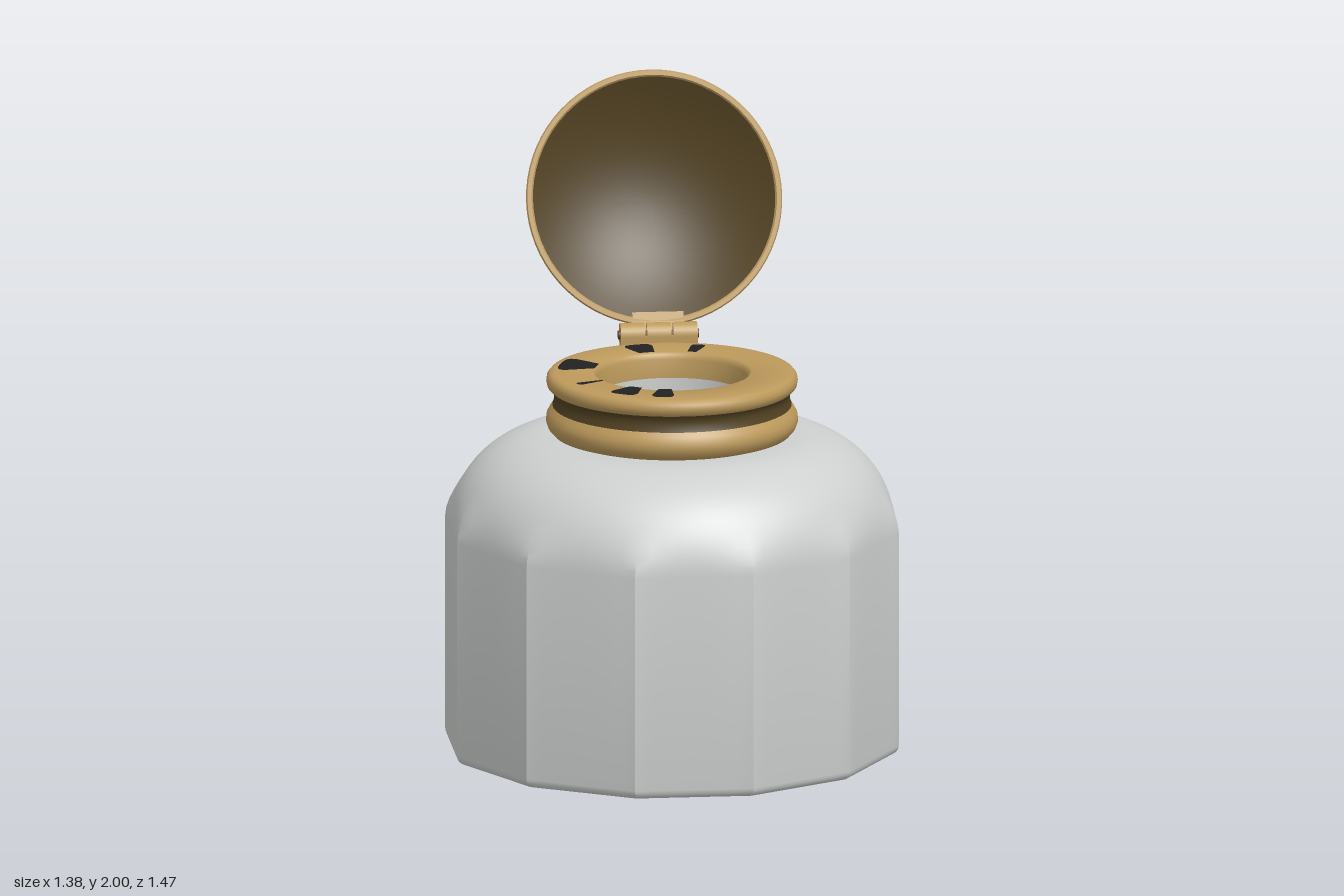
import * as THREE from 'three';
import { toCreasedNormals } from 'three/addons/utils/BufferGeometryUtils.js';

const material = (name, color, side = THREE.FrontSide) => {
  const m = new THREE.MeshStandardMaterial({ color, side });
  m.name = name;
  return m;
};

// Twelve-sided wall that melts into a round shoulder
function bottleGeometry() {
  const rows = [[0, 0, 1]]; // [radius, y, facet amount]
  for (let i = 0; i <= 4; i++) {
    const a = (i / 4) * Math.PI / 2;
    rows.push([0.66 + 0.03 * Math.sin(a), 0.03 - 0.03 * Math.cos(a), 1]);
  }
  for (let i = 0; i <= 16; i++) {
    const a = (i / 16) * Math.PI / 2;
    const y = 0.71 + 0.29 * Math.sin(a);
    rows.push([0.39 + 0.3 * Math.cos(a), y, 1 - THREE.MathUtils.smoothstep(y, 0.71, 0.86)]);
  }
  rows.push([0.25, 1, 0]);

  const perSide = 8, n = 12 * perSide, side = Math.PI / 6;
  const positions = [], index = [];
  for (const [r, y, facet] of rows) {
    for (let j = 0; j < n; j++) {
      const local = ((j % perSide) / perSide - 0.5) * side;
      const a = (j / perSide - 0.5) * side;
      const radius = r * (1 + facet * (1 / Math.cos(local) - 1));
      positions.push(radius * Math.sin(a), y, radius * Math.cos(a));
    }
  }
  for (let i = 0; i < rows.length - 1; i++) {
    for (let j = 0; j < n; j++) {
      const a = i * n + j, b = i * n + (j + 1) % n;
      if (i > 0) index.push(a, b, b + n);
      index.push(a, b + n, a + n);
    }
  }
  const g = new THREE.BufferGeometry();
  g.setAttribute('position', new THREE.Float32BufferAttribute(positions, 3));
  g.setIndex(index);
  return toCreasedNormals(g, 0.45);
}

const lathe = (points, segments = 72) => toCreasedNormals(
  new THREE.LatheGeometry(points.map(([r, y]) => new THREE.Vector2(r, y)), segments), 0.7);

// Wedge-shaped ink smear, lying flat, pointing outward along local +x
function stainGeometry(r0, r1, w0, w1) {
  const s = new THREE.Shape();
  const round = Math.min(w1, 0.03);
  s.moveTo(r0, -w0);
  s.lineTo(r1 - round, -w1);
  s.bezierCurveTo(r1, -w1, r1, -w1 * 0.6, r1, 0);
  s.bezierCurveTo(r1, w1 * 0.6, r1, w1, r1 - round, w1);
  s.lineTo(r0, w0);
  return new THREE.ShapeGeometry(s, 6).rotateX(-Math.PI / 2);
}

export function createModel() {
  const model = new THREE.Group();
  model.name = 'inkwell';
  const glass = material('pale glass', 0xcdd0ce);
  const brass = material('brass', 0xbd9a5c);
  const bronze = material('dark bronze', 0x524222);
  const ink = material('black ink', 0x222222, THREE.DoubleSide);

  const add = (parent, name, geometry, mat) => {
    const mesh = new THREE.Mesh(geometry, mat);
    mesh.name = name;
    parent.add(mesh);
    return mesh;
  };

  const bottle = new THREE.Group();
  bottle.name = 'bottle';
  bottle.position.z = 0.042;
  model.add(bottle);

  add(bottle, 'glassBody', bottleGeometry(), glass);
  add(bottle, 'glassInterior', lathe([
    [0.245, 1.13], [0.245, 0.97], [0.36, 0.96], [0.47, 0.92], [0.56, 0.85], [0.62, 0.74],
    [0.63, 0.66], [0.63, 0.06], [0, 0.06]]), glass);
  add(bottle, 'inkSurface', new THREE.CircleGeometry(0.63, 64).rotateX(-Math.PI / 2), ink)
    .position.y = 0.45;

  // Collar: two rounded beads with a dark groove between
  add(bottle, 'lowerCollar', lathe([
    [0.345, 1.0], [0.37, 1.008], [0.385, 1.025], [0.392, 1.045], [0.39, 1.065],
    [0.382, 1.08], [0.372, 1.095]]), brass);
  add(bottle, 'collarGroove', lathe([
    [0.372, 1.095], [0.367, 1.11], [0.366, 1.125], [0.37, 1.14], [0.378, 1.148]]), bronze);
  add(bottle, 'upperCollar', lathe([
    [0.378, 1.148], [0.388, 1.158], [0.391, 1.172], [0.389, 1.186], [0.38, 1.197],
    [0.365, 1.2], [0.248, 1.2], [0.24, 1.194], [0.235, 1.18], [0.235, 1.12], [0.248, 1.12]]), brass);

  // Ink smears on the collar top: direction x, z, inner and outer radius, half widths
  const stains = [
    [-0.07, -0.302, 0.242, 0.348, 0.025, 0.044],
    [0.105, -0.285, 0.246, 0.342, 0.014, 0.022],
    [-0.29, -0.1, 0.24, 0.356, 0.03, 0.074],
    [-0.265, 0.125, 0.25, 0.342, 0.005, 0.014],
    [-0.16, 0.245, 0.242, 0.345, 0.02, 0.044],
    [-0.055, 0.29, 0.242, 0.346, 0.02, 0.034],
  ];
  for (const [x, z, ...size] of stains) {
    const stain = add(bottle, 'inkStain', stainGeometry(...size), ink);
    stain.position.y = 1.203;
    stain.rotation.y = Math.atan2(-z, x);
  }

  // Open domed lid, leaning back
  const lid = new THREE.Group();
  lid.name = 'lid';
  lid.position.set(0, 1.62, -0.505);
  lid.rotation.x = -1.888;
  model.add(lid);
  const shell = [[0.378, 0.006], [0.383, 0], [0.396, 0], [0.4, 0.006]];
  const inside = [];
  for (let i = 1; i <= 14; i++) {
    const t = 1 - i / 14;
    shell.push([0.4 * t, 0.006 + 0.15 * (1 - t * t)]);
  }
  for (let i = 0; i <= 12; i++) {
    const t = i / 12;
    inside.push([0.378 * t, 0.006 + 0.12 * (1 - t * t)]);
  }
  add(lid, 'lidShell', lathe(shell), brass);
  add(lid, 'lidInside', lathe(inside), bronze);
  add(lid, 'lidKnob', lathe([
    [0.048, 0.145], [0.042, 0.165], [0.045, 0.178], [0.06, 0.186], [0.065, 0.2],
    [0.06, 0.216], [0.046, 0.229], [0.025, 0.237], [0, 0.24]], 32), brass);

  // Hinge: three knuckles, a pin and two leaves
  const hinge = new THREE.Group();
  hinge.name = 'hinge';
  hinge.position.set(0, 1.215, -0.378);
  model.add(hinge);
  for (const x of [-0.082, 0, 0.082]) {
    add(hinge, 'hingeKnuckle',
      new THREE.CylinderGeometry(0.037, 0.037, 0.076, 24).rotateZ(Math.PI / 2), brass).position.x = x;
  }
  add(hinge, 'hingePin',
    new THREE.CylinderGeometry(0.014, 0.014, 0.252, 16).rotateZ(Math.PI / 2), bronze);
  add(hinge, 'collarLeaf', new THREE.BoxGeometry(0.24, 0.06, 0.025), brass)
    .position.set(0, -0.03, 0.025);
  const lidLeaf = add(hinge, 'lidLeaf', new THREE.BoxGeometry(0.16, 0.06, 0.02), brass);
  lidLeaf.position.set(0, 0.035, -0.016);
  lidLeaf.rotation.x = -0.4;

  return model;
}
